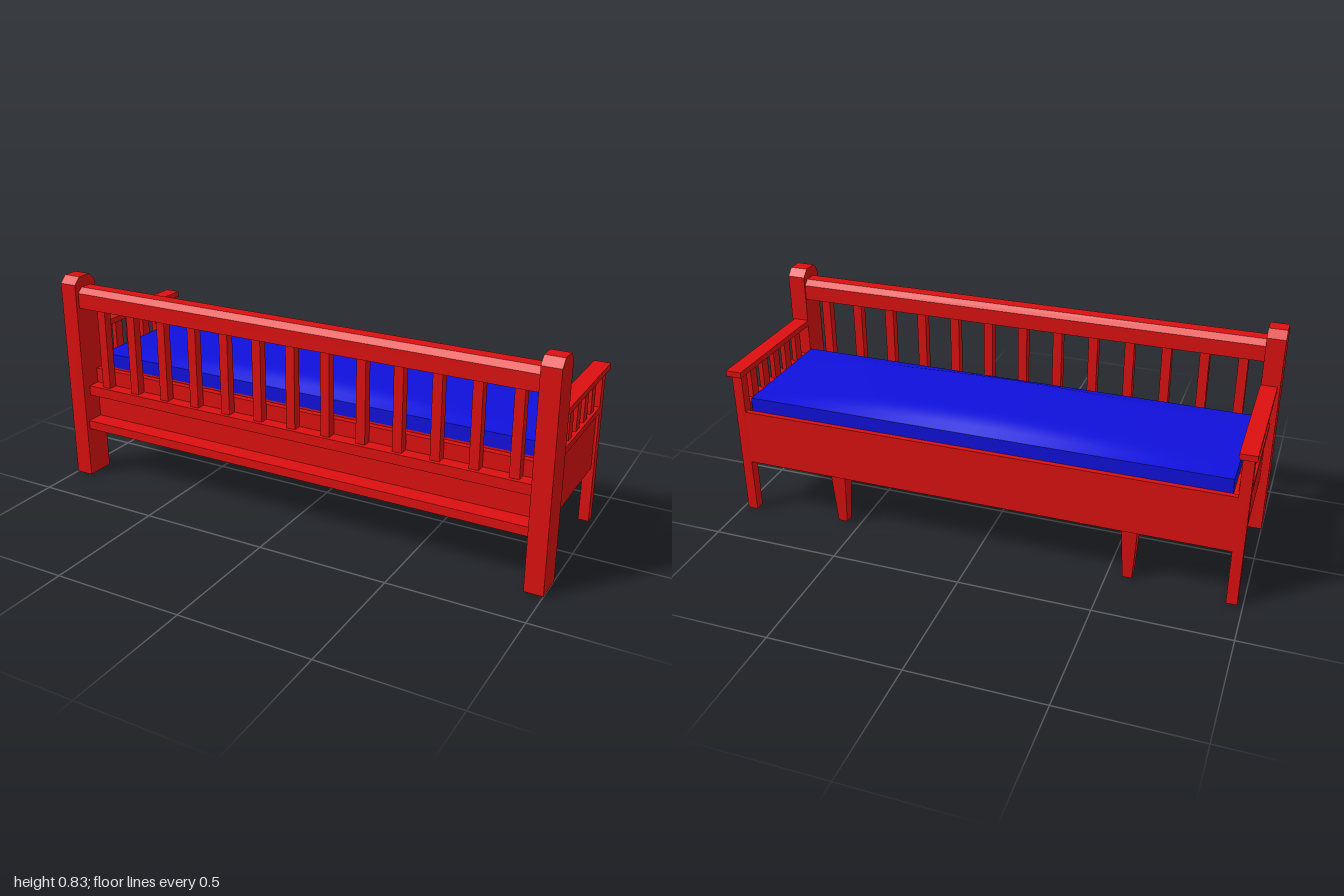
import * as THREE from 'three';

const red = new THREE.MeshStandardMaterial({ color: 0xdd1010, flatShading: true });
const blue = new THREE.MeshStandardMaterial({ color: 0x1010dd });

export function createModel() {
  const bench = new THREE.Group();
  bench.name = 'bench';

  function add(name, geometry, material = red, parent = bench) {
    const mesh = new THREE.Mesh(geometry, material);
    mesh.name = name;
    parent.add(mesh);
    return mesh;
  }

  // Box given by its limits on each axis
  function box(name, [x0, x1], [y0, y1], [z0, z1], parent = bench) {
    const g = new THREE.BoxGeometry(x1 - x0, y1 - y0, z1 - z0);
    g.translate((x0 + x1) / 2, (y0 + y1) / 2, (z0 + z1) / 2);
    return add(name, g, red, parent);
  }

  // Bar along x whose two upper long edges are chamfered
  function chamferedBar(name, [x0, x1], [y0, y1], [z0, z1], cz, cy, parent = bench) {
    const shape = new THREE.Shape([
      [z0, y0], [z1, y0], [z1, y1 - cy], [z1 - cz, y1], [z0 + cz, y1], [z0, y1 - cy],
    ].map(([z, y]) => new THREE.Vector2(z, y)));
    const g = new THREE.ExtrudeGeometry(shape, { depth: x1 - x0, bevelEnabled: false });
    g.rotateY(-Math.PI / 2);
    g.translate(x1, 0, 0);
    return add(name, g, red, parent);
  }

  // Backrest: top rail, slats, ledge they stand on, panel and lower rail
  const span = [-0.93, 0.93];
  chamferedBar('backTopRail', span, [0.71, 0.79], [0.215, 0.31], 0.023, 0.02);
  for (let i = -6; i <= 6; i++) {
    const x = i * 0.1425;
    box('backSlat', [x - 0.018, x + 0.018], [0.38, 0.71], [0.24, 0.275]);
  }
  box('backPanel', span, [0.2, 0.44], [0.215, 0.24]);
  box('backLedge', span, [0.34, 0.38], [0.24, 0.29]);
  box('backLowerRail', span, [0.2, 0.235], [0.215, 0.31]);

  // Seat base
  box('frontPanel', [-0.94, 0.94], [0.22, 0.44], [-0.305, -0.285]);
  box('floorBoard', [-0.945, 0.945], [0.22, 0.24], [-0.285, 0.2]);
  box('seatBoard', [-0.92, 0.92], [0.425, 0.44], [-0.285, 0.2]);

  // Both ends alike
  for (const side of [1, -1]) {
    const end = new THREE.Group();
    end.name = side > 0 ? 'leftEnd' : 'rightEnd';
    bench.add(end);
    const mx = (a, b) => (side > 0 ? [a, b] : [-b, -a]);

    chamferedBar('backPost', mx(0.93, 1), [0, 0.833], [0.21, 0.325], 0.028, 0.028, end);
    box('frontLeg', mx(0.94, 0.98), [0, 0.595], [-0.305, -0.265], end);
    box('sidePanel', mx(0.945, 0.97), [0.22, 0.44], [-0.265, 0.21], end);
    box('sideRail', mx(0.935, 0.98), [0.44, 0.465], [-0.265, 0.21], end);
    box('armrest', mx(0.928, 0.99), [0.595, 0.618], [-0.325, 0.21], end);
    for (let i = 0; i < 5; i++) {
      const z = 0.148 - i * 0.0875;
      box('armSlat', mx(0.95, 0.97), [0.465, 0.595], [z - 0.021, z + 0.021], end);
    }

    // Tapered middle leg
    const leg = new THREE.CylinderGeometry(Math.SQRT1_2, Math.SQRT1_2 * 0.6, 0.22, 4);
    leg.rotateY(Math.PI / 4);
    leg.scale(0.06, 1, 0.062);
    leg.translate(side * 0.565 + (0.01 * side), 0.11, -0.252);
    add('middleLeg', leg, red, end);
  }

  // Cushion with a domed top that falls off towards its edges
  const cushion = new THREE.BoxGeometry(1.84, 0.055, 0.485, 24, 1, 12);
  const p = cushion.attributes.position;
  for (let i = 0; i < p.count; i++) {
    if (p.getY(i) < 0) continue;
    const along = 1 - Math.pow(Math.abs(p.getX(i)) / 0.92, 1.7);
    const across = Math.min(1, (0.2425 - Math.abs(p.getZ(i))) / 0.08);
    p.setY(i, p.getY(i) + 0.037 * along * across);
  }
  cushion.computeVertexNormals();
  add('cushion', cushion, blue).position.set(0, 0.4675, -0.0425);

  return bench;
}
